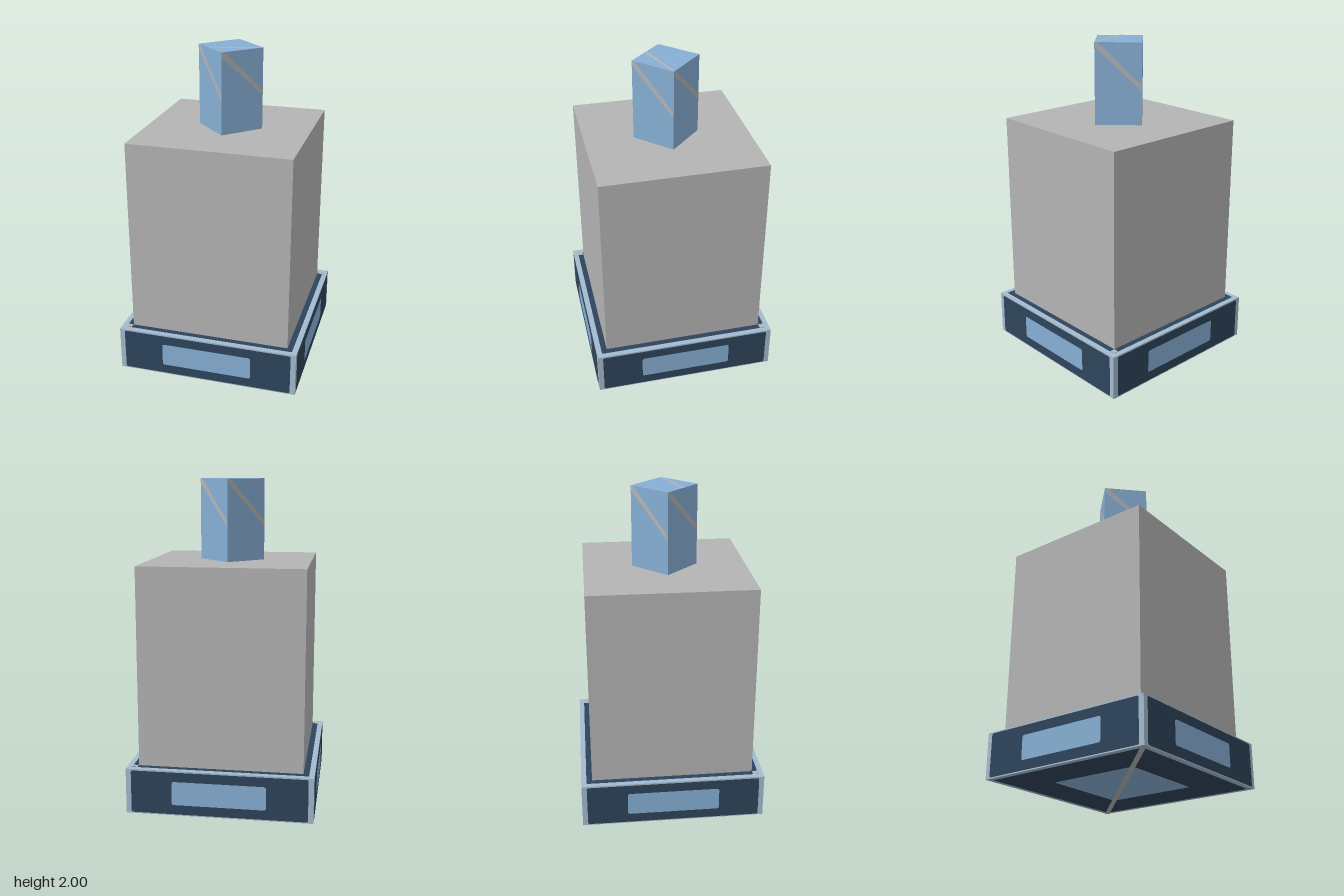
import * as THREE from 'three';

const mat = (name, color) => {
  const m = new THREE.MeshStandardMaterial({ color });
  m.name = name;
  return m;
};

export function createModel() {
  const grey = mat('stone grey', 0xb4b4b4);
  const blue = mat('glass blue', 0x87afd4);
  const navy = mat('navy', 0x2e445b);
  const pale = mat('pale blue', 0xa3bbcf);

  const root = new THREE.Group();
  root.name = 'model';

  const add = (parent, name, geometry, material, x = 0, y = 0, z = 0) => {
    const mesh = new THREE.Mesh(geometry, material);
    mesh.name = name;
    mesh.position.set(x, y, z);
    parent.add(mesh);
    return mesh;
  };
  const polygon = (points) =>
    new THREE.ShapeGeometry(new THREE.Shape(points.map(([x, y]) => new THREE.Vector2(x, y))));
  // Flat panel with slightly rounded corners
  const panel = (w, h, r) => {
    const x = w / 2, y = h / 2, s = new THREE.Shape();
    s.moveTo(-x + r, -y);
    s.lineTo(x - r, -y).quadraticCurveTo(x, -y, x, -y + r);
    s.lineTo(x, y - r).quadraticCurveTo(x, y, x - r, y);
    s.lineTo(-x + r, y).quadraticCurveTo(-x, y, -x, y - r);
    s.lineTo(-x, -y + r).quadraticCurveTo(-x, -y, -x + r, -y);
    return new THREE.ShapeGeometry(s, 4);
  };

  // Main blocks
  add(root, 'base', new THREE.BoxGeometry(1.134, 0.2805, 1.134), pale, 0, 0.14325, 0);
  add(root, 'body', new THREE.BoxGeometry(1, 1.22, 1), grey, 0, 0.89, 0);
  const post = add(root, 'post', new THREE.BoxGeometry(0.2828, 0.5, 0.2828), blue, 0, 1.749, 0);
  post.rotation.y = Math.PI / 4;

  for (let i = 0; i < 4; i++) {
    // Framed window on each side of the base
    const side = new THREE.Group();
    side.name = 'baseSide';
    side.rotation.y = i * Math.PI / 2;
    add(side, 'sidePanel', panel(1.07, 0.265, 0.012), navy, 0, 0.1425, 0.5685);
    add(side, 'sideWindow', panel(0.57, 0.147, 0.014), blue, 0, 0.143, 0.57);
    root.add(side);

    // Slanted streak on each face of the post
    const face = new THREE.Group();
    face.name = 'postFace';
    face.rotation.y = Math.PI / 4 + i * Math.PI / 2;
    add(face, 'postStreak', polygon([
      [-0.141, 1.972], [0.141, 1.71], [0.141, 1.742], [-0.12, 1.998], [-0.141, 1.998],
    ]), grey, 0, 0, 0.143);
    root.add(face);
  }

  // Top of the base: navy border with two grey corners on the diagonal
  const top = new THREE.Group();
  top.name = 'baseTop';
  top.rotation.x = -Math.PI / 2;
  add(top, 'topBorder', panel(1.07, 1.07, 0.008), navy, 0, 0, 0.285);
  for (const s of [-1, 1]) {
    add(top, 'topCorner', new THREE.PlaneGeometry(0.034, 0.034), grey, s * 0.518, s * 0.518, 0.2865);
  }
  // Streak across the top of the post
  add(top, 'postTopStreak', polygon([
    [-0.11, -0.09], [-0.094, -0.106], [0.19, -0.01], [0.2, 0], [0.186, 0.003],
  ]), grey, 0, 0, 2);
  root.add(top);

  // Underside: panel, central window and diagonal stripe
  const bottom = new THREE.Group();
  bottom.name = 'baseUnderside';
  bottom.rotation.x = Math.PI / 2;
  add(bottom, 'bottomPanel', panel(1.07, 1.07, 0.012), navy, 0, 0, -0.002);
  add(bottom, 'bottomWindow', panel(0.57, 0.57, 0.014), blue, 0, 0, -0.001);
  const stripe = add(bottom, 'bottomStripe', new THREE.PlaneGeometry(1.57, 0.03), grey);
  stripe.rotation.z = -Math.PI / 4;
  root.add(bottom);

  return root;
}
